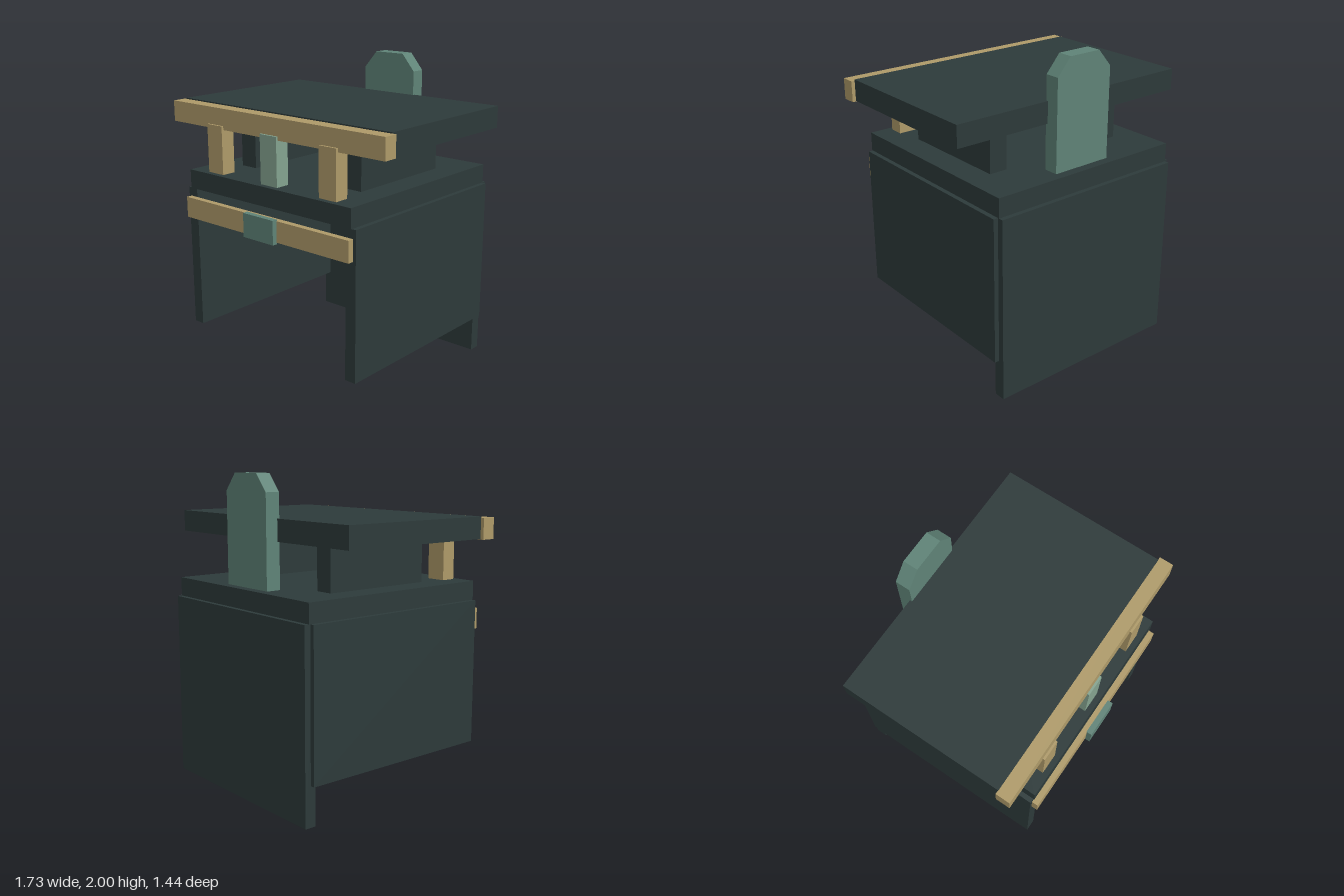
import * as THREE from 'three';

const material = (name, color) => {
  const m = new THREE.MeshStandardMaterial({ color });
  m.name = name;
  return m;
};

export function createModel() {
  const dark = material('dark slate', 0x2d3a3a);
  const tan = material('tan wood', 0xae9a69);
  const green = material('muted green', 0x5f8377);
  const pale = material('pale green', 0x84a38f);

  const model = new THREE.Group();
  model.name = 'shrineCabinet';

  // Box given by its limits on each axis
  const box = (name, mat, [x0, x1], [y0, y1], [z0, z1]) => {
    const mesh = new THREE.Mesh(new THREE.BoxGeometry(x1 - x0, y1 - y0, z1 - z0), mat);
    mesh.position.set((x0 + x1) / 2, (y0 + y1) / 2, (z0 + z1) / 2);
    mesh.name = name;
    model.add(mesh);
  };
  // Mirrored pair of boxes
  const pair = (name, mat, [x0, x1], y, z) => {
    box(name + 'Left', mat, [x0, x1], y, z);
    box(name + 'Right', mat, [-x1, -x0], y, z);
  };

  // Open-fronted lower body
  pair('sidePanel', dark, [0.627, 0.702], [0.253, 1.19], [-0.68, 0.648]);
  box('backPanel', dark, [-0.672, 0.672], [0, 1.19], [-0.72, -0.645]);
  box('counterSlab', dark, [-0.672, 0.672], [1.19, 1.312], [-0.69, 0.656]);

  // Front rail with its central plate
  box('frontRail', tan, [-0.682, 0.682], [1.0, 1.134], [0.648, 0.688]);
  box('railPlate', green, [-0.125, 0.125], [0.99, 1.143], [0.684, 0.72]);

  // Roof and its supports
  pair('roofSupport', dark, [0.377, 0.5], [1.312, 1.6], [-0.39, 0.36]);
  box('roof', dark, [-0.843, 0.843], [1.6, 1.737], [-0.55, 0.516]);
  box('roofBeam', tan, [-0.866, 0.866], [1.596, 1.729], [0.514, 0.606]);
  pair('frontPost', tan, [0.402, 0.533], [1.312, 1.62], [0.524, 0.62]);
  box('centrePost', pale, [-0.068, 0.068], [1.312, 1.62], [0.524, 0.62]);

  // Upright tablet with clipped top corners
  const outline = new THREE.Shape([
    [-0.203, 1.312], [0.203, 1.312], [0.203, 1.892],
    [0.11, 2], [-0.11, 2], [-0.203, 1.892],
  ].map(([x, y]) => new THREE.Vector2(x, y)));
  const tablet = new THREE.Mesh(
    new THREE.ExtrudeGeometry(outline, { depth: 0.096, bevelEnabled: false }), green);
  tablet.position.z = -0.631;
  tablet.name = 'backTablet';
  model.add(tablet);

  return model;
}
